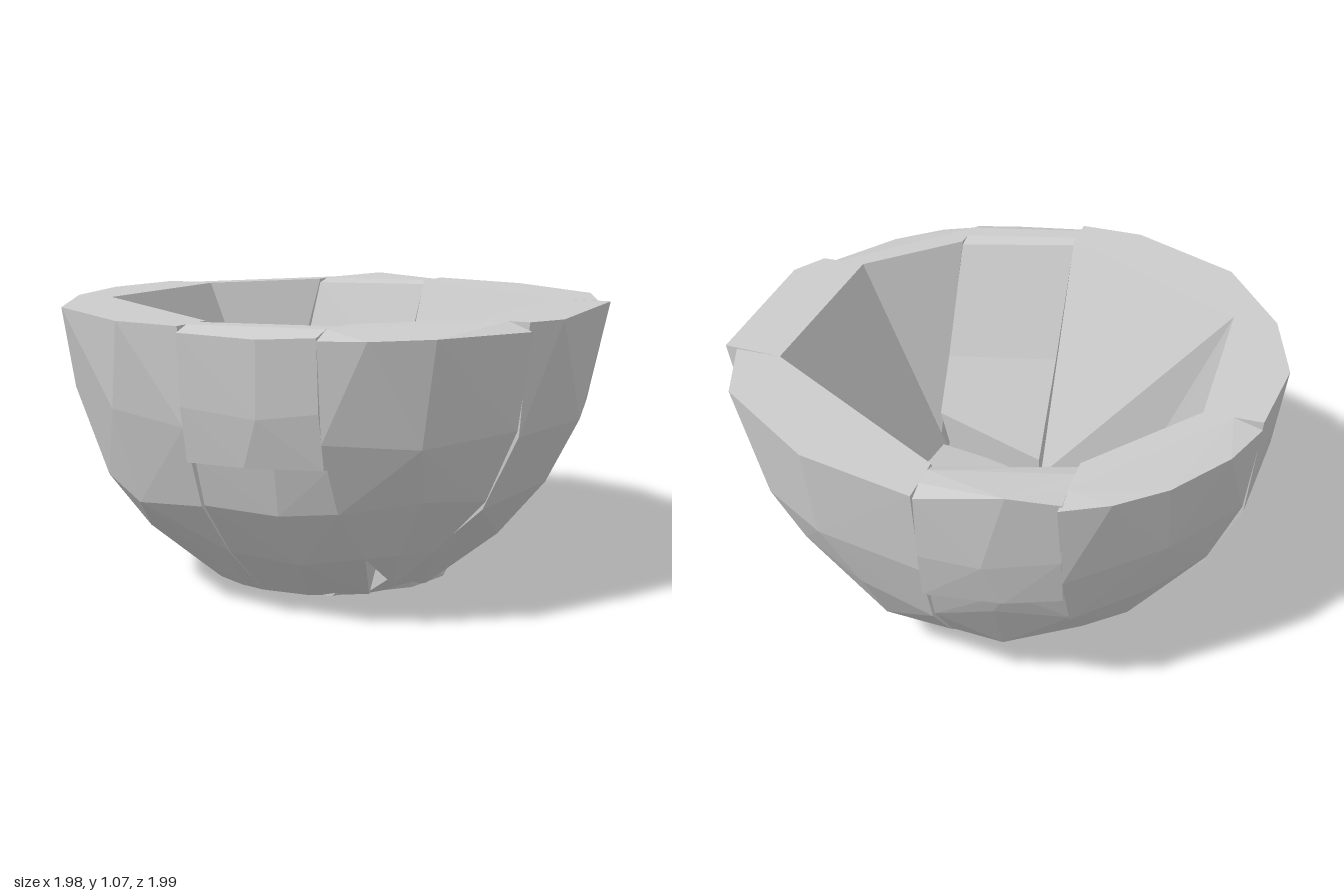
import * as THREE from 'three';
import { ConvexGeometry } from 'three/addons/geometries/ConvexGeometry.js';

const TOP = 1.055, BASE = 0.05, SPLIT = 0.615;
// Outer profiles as [height, radius]
const WALL = [[0.73, 0.96], [0.45, 0.87], [0.25, 0.715], [BASE, 0.505]];
const CORNER = [[0.7, 0.96], [0.45, 0.865], [0.25, 0.71]];
const SIDE = [[0.68, 0.965], [0.42, 0.855], [0.25, 0.7]];
const LIP = [[1.035, 0.985], [0.8, 0.975], [SPLIT, 0.945]];
const UNDER = [[SPLIT, 0.9], [0.45, 0.855], [0.25, 0.71], [BASE, 0.505]];

// The two halves differ in rim outline [x, z], cut positions and foot of the side stone
const HALVES = [
  {
    name: 'frontHalf', cut: 0.36, inner: 0.36, sideFoot: 0.5,
    wallRim: [[0, 0.98], [-0.25, 0.97], [-0.67, 0.75], [-0.9, 0.39]],
    cornerRim: [[0.44, 0.88], [0.58, 0.82], [0.74, 0.67], [0.93, 0.36]],
    sideRim: [[0.92, 0.36], [0.99, 0.23], [0.96, -0.38]],
    foot: [[0.34, BASE, 0.36], [0.48, BASE, 0.15], [0.47, 0.14, -0.38]],
  },
  {
    name: 'backHalf', cut: 0.28, inner: 0.33, sideFoot: 0.44,
    wallRim: [[0, 1], [-0.41, 0.91], [-0.8, 0.65], [-0.91, 0.39]],
    cornerRim: [[0.43, 0.9], [0.58, 0.82], [0.73, 0.69], [0.88, 0.47], [0.95, 0.28]],
    sideRim: [[0.95, 0.28], [0.99, -0.06], [0.9, -0.39]],
    foot: [[0.41, 0.005, -0.05], [0.57, 0.06, -0.1], [0.43, 0.1, 0.28], [0.48, 0.15, -0.39]],
  },
];

// Cut planes expressed as angles from the front (x = r sin a, z = r cos a)
const atZ = (z) => (r) => Math.acos(THREE.MathUtils.clamp(z / r, -1, 1));
const atX = (x) => (r) => Math.asin(THREE.MathUtils.clamp(x / r, -1, 1));

function makeRandom(seed) {
  let s = seed;
  return () => (s = (s * 16807) % 2147483647) / 2147483647;
}

export function createModel() {
  const group = new THREE.Group();
  group.name = 'stoneBowl';
  const material = new THREE.MeshStandardMaterial({ color: 0xcccccc, flatShading: true });
  const random = makeRandom(4711);

  const rim = (outline, y) => outline.map(([x, z]) => [x, y, z]);

  // Rings of points on the outer surface between two cut planes
  function outer(profile, from, to, segments) {
    const points = [];
    for (const [y, r] of profile) {
      const a0 = from(r), a1 = to(r);
      if (a1 <= a0) continue;
      for (let i = 0; i <= segments; i++) {
        const inside = i > 0 && i < segments;
        const a = a0 + (a1 - a0) * (i + (inside ? (random() - 0.5) * 0.5 : 0)) / segments;
        const level = !inside || y === BASE || y === SPLIT;
        const h = level ? y : y + (random() - 0.5) * 0.1;
        points.push([r * Math.sin(a), h, r * Math.cos(a)]);
      }
    }
    return points;
  }

  // One faceted stone wrapped around its points
  function stone(name, points, parent) {
    const geometry = new ConvexGeometry(points.map((p) => new THREE.Vector3(...p)));
    const mesh = new THREE.Mesh(geometry, material);
    mesh.name = name;
    parent.add(mesh);
  }

  // Two halves, the second turned half way round
  HALVES.forEach(({ name, cut, inner, sideFoot, wallRim, cornerRim, sideRim, foot }, k) => {
    const half = new THREE.Group();
    half.name = name;
    half.rotation.y = k * Math.PI;

    // Large wall stone with a slanted triangular inner face
    stone('largeWallStone', [
      ...rim(wallRim, TOP),
      ...outer(WALL, (r) => -atZ(0.39)(r), () => 0, 3),
      [0, TOP, 0.825], [-0.74, TOP, 0.39], [0, 0.15, 0.39],
    ], half);

    // Lip stone with a bevelled top
    stone('lipStone', [
      ...outer(LIP, () => 0, atX(0.44), 2),
      [0, TOP, 0.93], [0.44, TOP, 0.82], [0, TOP, 0.86], [0.44, TOP, 0.74],
      [0, 1.04, 0.82], [0.44, 1.04, 0.68], [0, SPLIT, 0.59], [0.44, SPLIT, 0.48],
    ], half);

    // Stone beneath the lip, set slightly back
    stone('underLipStone', [
      ...outer(UNDER, () => 0, (r) => Math.min(atX(0.44)(r), atZ(inner)(r)), 2),
      [0, SPLIT, 0.59], [0.44, SPLIT, 0.48],
      [0, 0.25, inner], [0.44, 0.4, inner], [0, BASE, inner],
    ], half);

    // Corner stone between lip and side, its outer rim sloping down a little
    stone('cornerStone', [
      ...rim(cornerRim, 1.025),
      ...outer(CORNER, atX(0.44), atZ(cut), 2),
      [0.44, TOP, 0.82], [0.85, TOP, cut],
      [0.44, TOP, 0.68], [0.75, TOP, cut], [0.44, 0.3, cut], [0.45, 0.1, cut],
    ], half);

    // Side wall stone with a broken foot
    stone('sideWallStone', [
      ...rim(sideRim, TOP),
      ...outer(SIDE, atZ(cut), atZ(-0.39), 2),
      [0.75, TOP, cut], [0.74, TOP, -0.39],
      [sideFoot, 0.3, cut], [sideFoot, 0.3, -0.39], ...foot,
    ], half);

    // Floor slab
    stone('floorSlab', [
      ...outer([[BASE, 0.505]], () => 0, () => Math.PI, 6),
      [0, 0.15, 0.39], [0, 0.15, -0.39], [0.41, 0.29, 0],
      [0.48, 0.27, 0.33], [0.48, 0.22, -0.38],
    ], half);

    group.add(half);
  });
  return group;
}
